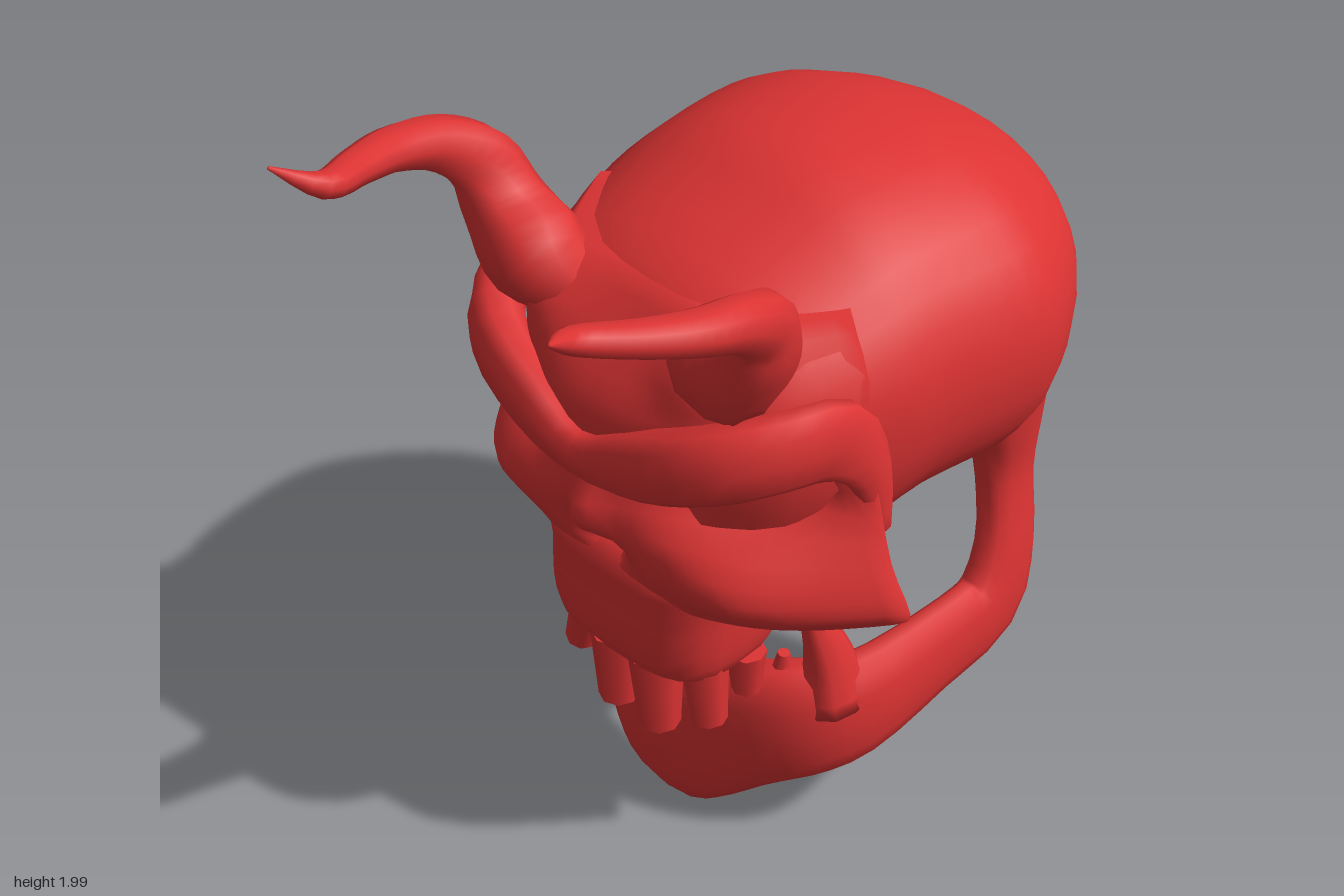
import * as THREE from 'three';

const red = new THREE.MeshStandardMaterial({ color: 0xdd3333, side: THREE.DoubleSide });
const sgnPow = (v, p) => Math.sign(v) * Math.abs(v) ** p;

// Catmull-Rom interpolation of rows of numbers
function smooth(rows, n) {
  const out = [];
  const row = i => rows[Math.min(Math.max(i, 0), rows.length - 1)];
  for (let i = 0; i < rows.length - 1; i++) {
    for (let k = 0; k < n; k++) {
      const t = k / n;
      out.push(row(i).map((b, j) => {
        const a = row(i - 1)[j], c = row(i + 1)[j], d = row(i + 2)[j];
        return b + 0.5 * t * (c - a + t * (2 * a - 5 * b + 4 * c - d + t * (3 * (b - c) + d - a)));
      }));
    }
  }
  out.push(rows[rows.length - 1]);
  return out;
}

// Closed skin over a list of equal-length rings, capped at both ends
function loft(name, rings) {
  const m = rings[0].length, pts = rings.flat(), idx = [];
  for (let i = 0; i < rings.length - 1; i++) {
    for (let j = 0; j < m; j++) {
      const a = i * m + j, b = i * m + (j + 1) % m;
      idx.push(a, b, a + m, b, b + m, a + m);
    }
  }
  [0, rings.length - 1].forEach((r, end) => {
    const c = pts.length;
    pts.push(rings[r].reduce((s, p) => s.add(p), new THREE.Vector3()).divideScalar(m));
    for (let j = 0; j < m; j++) {
      const a = r * m + j, b = r * m + (j + 1) % m;
      idx.push(...(end ? [a, b, c] : [b, a, c]));
    }
  });
  // turn the faces outward when the enclosed volume is negative
  let volume = 0;
  const cross = new THREE.Vector3();
  for (let i = 0; i < idx.length; i += 3) {
    volume += pts[idx[i]].dot(cross.crossVectors(pts[idx[i + 1]], pts[idx[i + 2]]));
  }
  if (volume < 0) idx.reverse();
  const geo = new THREE.BufferGeometry().setFromPoints(pts);
  geo.setIndex(idx);
  geo.computeVertexNormals();
  const mesh = new THREE.Mesh(geo, red);
  mesh.name = name;
  return mesh;
}

// Sweep an oval along rows of [x, y, z, side radius, up radius, side angle]
function sweep(name, rows, n = 3, sides = 10) {
  const path = smooth(rows, n);
  const at = i => new THREE.Vector3(...path[Math.min(Math.max(i, 0), path.length - 1)].slice(0, 3));
  return loft(name, path.map((p, i) => {
    const tan = at(i + 1).sub(at(i - 1)).normalize();
    const lat = new THREE.Vector3(Math.cos(p[5]), 0, Math.sin(p[5]));
    lat.addScaledVector(tan, -lat.dot(tan)).normalize();
    const up = new THREE.Vector3().crossVectors(tan, lat);
    return Array.from({ length: sides }, (_, j) => {
      const t = j / sides * Math.PI * 2;
      return at(i).addScaledVector(lat, p[3] * sgnPow(Math.cos(t), 0.85))
        .addScaledVector(up, p[4] * sgnPow(Math.sin(t), 0.85));
    });
  }));
}

const flip = ([x, y, z, r, u, a]) => [-x, y, z, r, u, Math.PI - a];
// Continue a left-hand half path through the middle to the right
const bothSides = half => [...half, ...half.slice(0, -1).reverse().map(flip)];

function cranium() {
  // z, top, bottom, half width
  const rows = [[-0.92, 1.4, 1.3, 0.06], [-0.89, 1.53, 1.14, 0.24], [-0.78, 1.64, 0.97, 0.42],
    [-0.6, 1.73, 0.87, 0.545], [-0.45, 1.765, 0.85, 0.585], [-0.2, 1.77, 0.85, 0.555],
    [-0.02, 1.71, 0.8, 0.53], [0.2, 1.62, 0.83, 0.45], [0.32, 1.5, 0.95, 0.32]];
  return loft('cranium', smooth(rows, 3).map(([z, top, low, w]) =>
    Array.from({ length: 32 }, (_, j) => {
      const t = j / 32 * Math.PI * 2, s = sgnPow(Math.sin(t), 0.92);
      return new THREE.Vector3(w * sgnPow(Math.cos(t), 0.92), 1.33 + s * (s > 0 ? top - 1.33 : 1.33 - low), z);
    })));
}

// Face with eye sockets, nose, flaring cheekbones and horn roots
function face() {
  const bump = (x, y, cx, cy, sx, sy) => Math.exp(-(((x - cx) / sx) ** 2) - ((y - cy) / sy) ** 2);
  // y, half width, depth in the middle, depth at the edge
  const rows = [[0.79, 0.4, 0.34, 0.06], [0.82, 0.56, 0.37, 0.05], [0.87, 0.64, 0.39, 0.05],
    [0.93, 0.68, 0.41, 0.06], [1.05, 0.625, 0.43, 0.07], [1.2, 0.56, 0.44, 0.05],
    [1.35, 0.52, 0.44, 0.05], [1.47, 0.49, 0.36, 0.02], [1.6, 0.41, 0.23, 0]];
  const n = 40;
  return loft('face', smooth(rows, 3).map(([y, w, mid, edge]) => {
    const ring = [];
    for (let i = 0; i <= n; i++) {
      const u = -1 + 2 * i / n, x = u * w, ax = Math.abs(x);
      const z = edge + (mid - edge) * (1 - Math.abs(u) ** 2.6)
        - 0.2 * bump(ax, y, 0.35, 1.18, 0.21, 0.095) * (1 - u ** 6)
        + 0.06 * bump(ax, y, 0, 1.06, 0.055, 0.08)
        - 0.1 * bump(ax, y, 0, 0.94, 0.07, 0.04)
        + 0.06 * bump(ax, y, 0.44, 0.96, 0.16, 0.09) * (1 - u ** 4)
        + 0.12 * bump(ax, y, 0.3, 1.53, 0.14, 0.1) * (1 - u ** 4);
      ring.push(new THREE.Vector3(x, y, z));
    }
    for (const s of [1, -1]) ring.push(new THREE.Vector3(s * w * 0.74, y, edge - 0.1));
    return ring;
  }));
}

// Upper jaw block
function muzzle() {
  // y, half width, front z, back z
  const rows = [[0.57, 0.22, 0.35, 0.1], [0.6, 0.265, 0.385, 0.02], [0.68, 0.285, 0.4, -0.04],
    [0.8, 0.29, 0.395, -0.05], [0.88, 0.3, 0.395, -0.07], [0.93, 0.27, 0.34, -0.06]];
  return loft('upperJaw', smooth(rows, 2).map(([y, w, f, b]) =>
    Array.from({ length: 24 }, (_, j) => {
      const t = j / 24 * Math.PI * 2;
      return new THREE.Vector3(w * sgnPow(Math.cos(t), 0.65), y, (f + b) / 2 + (f - b) / 2 * sgnPow(Math.sin(t), 0.7));
    })));
}

function tooth(name, x, y, z, r, h, tilt, up) {
  const geo = new THREE.CylinderGeometry(up ? r * 0.4 : r, up ? r : r * 0.75, h, 8, 2);
  const mesh = new THREE.Mesh(geo, red);
  mesh.name = name;
  mesh.position.set(x, y, z);
  mesh.rotation.z = tilt;
  return mesh;
}

export function createModel() {
  const group = new THREE.Group();
  group.name = 'hornedSkull';
  const H = Math.PI / 2;
  group.add(cranium(), face(), muzzle());

  // Angry brow, running down into the outer rims of the eye sockets
  group.add(sweep('brow', bothSides([[0.54, 1.08, 0.02, 0.02, 0.03, 0], [0.52, 1.24, 0.04, 0.04, 0.06, 0],
    [0.495, 1.36, 0.12, 0.05, 0.1, 0.1], [0.46, 1.385, 0.27, 0.06, 0.1, 0.6],
    [0.35, 1.35, 0.385, 0.07, 0.095, 1.2], [0.17, 1.275, 0.43, 0.06, 0.085, H],
    [0, 1.23, 0.44, 0.055, 0.06, H]])));

  // Lower jaw: branch, body and pointed chin
  group.add(sweep('lowerJaw', bothSides([[0.37, 1.06, -0.6, 0.08, 0.13, 0], [0.36, 0.93, -0.62, 0.075, 0.1, 0],
    [0.37, 0.8, -0.62, 0.06, 0.08, 0], [0.405, 0.62, -0.595, 0.055, 0.09, 0], [0.42, 0.46, -0.52, 0.06, 0.12, 0.05],
    [0.42, 0.42, -0.32, 0.06, 0.135, 0.1], [0.4, 0.385, -0.08, 0.075, 0.16, 0.25],
    [0.32, 0.36, 0.04, 0.09, 0.18, 0.7], [0.19, 0.31, 0.12, 0.08, 0.19, 1.2],
    [0.07, 0.25, 0.165, 0.07, 0.21, 1.45], [0, 0.225, 0.175, 0.062, 0.22, H]]), 3, 14));

  // Horns curling up and forward, and tusks in the lower jaw
  const horn = [[0.2, 1.47, 0.24, 0.08, 0.07, 0], [0.31, 1.55, 0.29, 0.13, 0.12, 0], [0.41, 1.65, 0.3, 0.095, 0.1, 0],
    [0.455, 1.75, 0.325, 0.07, 0.085, 0], [0.49, 1.825, 0.42, 0.06, 0.065, 0], [0.49, 1.865, 0.55, 0.055, 0.05, 0],
    [0.45, 1.895, 0.68, 0.046, 0.04, 0], [0.4, 1.93, 0.81, 0.034, 0.03, 0], [0.45, 1.995, 0.91, 0.004, 0.004, 0]];
  const tusk = [[0.38, 0.43, -0.01, 0.08, 0.09, 0], [0.37, 0.57, 0.0, 0.055, 0.065, 0],
    [0.35, 0.7, 0.035, 0.03, 0.035, 0], [0.33, 0.8, 0.065, 0.004, 0.004, 0]];
  for (const [side, f] of [['left', r => r], ['right', flip]]) {
    group.add(sweep(side + 'Horn', horn.map(f), 4), sweep(side + 'Tusk', tusk.map(f)));
  }

  // Uneven upper teeth: x, centre y, z, radius, height, tilt
  for (const [x, y, z, r, h, t] of [[-0.18, 0.53, 0.29, 0.055, 0.17, -0.3], [-0.03, 0.5, 0.325, 0.068, 0.21, 0],
    [0.1, 0.495, 0.315, 0.07, 0.22, 0.05], [0.215, 0.525, 0.26, 0.06, 0.18, 0.1], [0.25, 0.55, 0.16, 0.05, 0.12, 0]]) {
    group.add(tooth('upperTooth', x, y, z, r, h, t, false));
  }
  // Small lower teeth
  for (const [x, z] of [[-0.26, 0.08], [-0.19, 0.13], [0.05, 0.17], [0.21, 0.12], [0.28, 0.07]]) {
    group.add(tooth('lowerTooth', x, 0.5, z, 0.04, 0.14, -x * 0.4, true));
  }
  return group;
}
